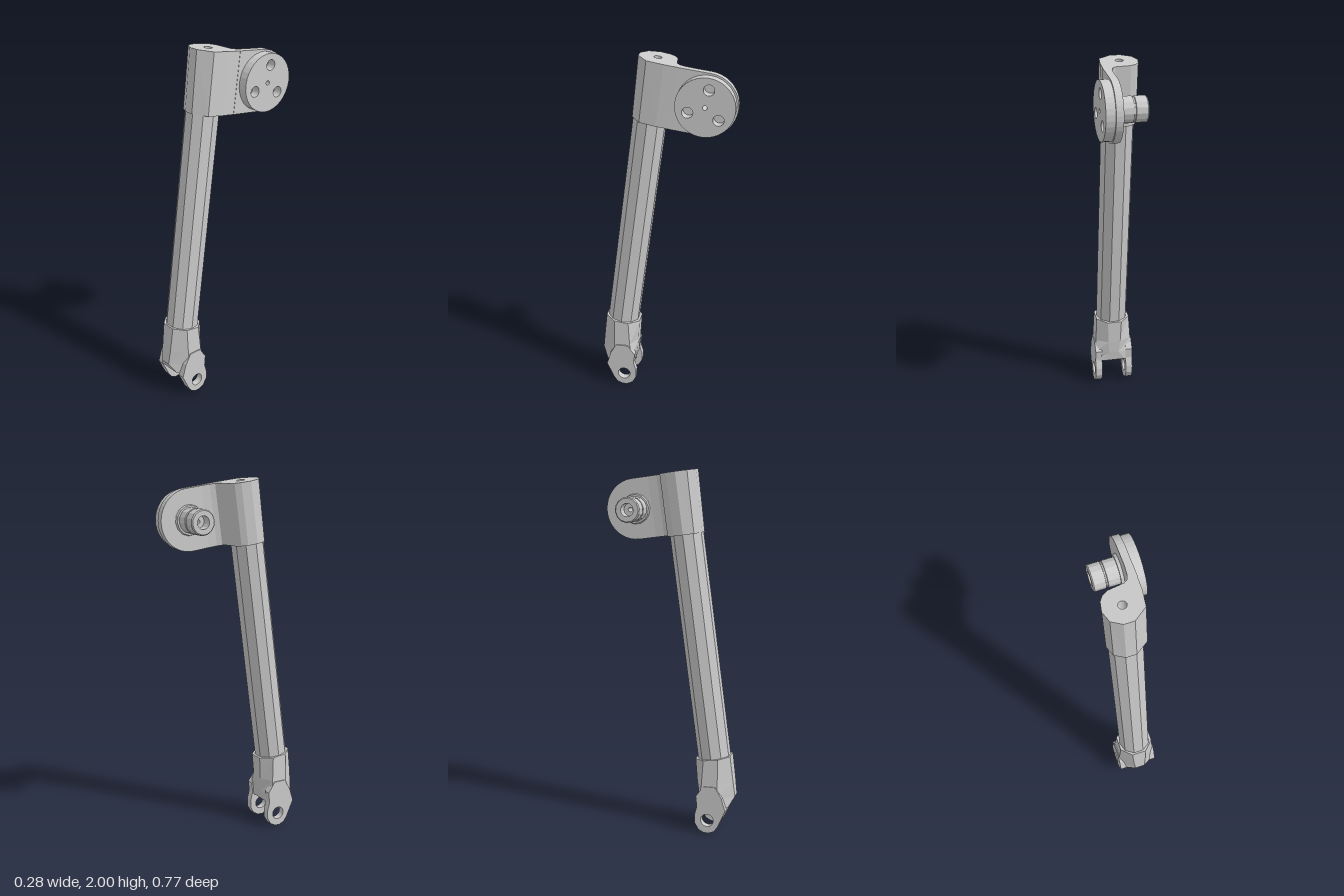
import * as THREE from 'three';

const mat = new THREE.MeshStandardMaterial({ color: 0xcccccc, flatShading: true });
const AXIS_X = -0.028;   // x of the strut axis
const TILT = 0.1327;     // backward lean of the strut

function add(parent, name, geometry) {
  const mesh = new THREE.Mesh(geometry, mat);
  mesh.name = name;
  parent.add(mesh);
  return mesh;
}

function polygon(points) {
  return new THREE.Shape(points.map(([x, y]) => new THREE.Vector2(x, y)));
}

function addHole(shape, x, y, r) {
  const hole = new THREE.Path();
  hole.absarc(x, y, r, 0, Math.PI * 2, true);
  shape.holes.push(hole);
}

// Extrudes a (z, y) outline sideways from x0 to x1
function extrudeX(shape, x0, x1, curveSegments) {
  const g = new THREE.ExtrudeGeometry(shape, { depth: x1 - x0, bevelEnabled: false, curveSegments });
  return g.rotateY(-Math.PI / 2).translate(x1, 0, 0);
}

// Eight-cornered ring with cut corners; slope tilts it along z
function ring({ y, w, back, front, cutX, cutBack, cutFront, slope = 0 }) {
  const mid = (back + front) / 2;
  return [
    [w, front - cutFront], [w, back + cutBack], [w - cutX, back], [-w + cutX, back],
    [-w, back + cutBack], [-w, front - cutFront], [-w + cutX, front], [w - cutX, front],
  ].map(([x, z]) => [x, y + slope * (z - mid), z]);
}

// Skins a stack of rings, top to bottom, and closes both ends
function loft(rings) {
  const n = rings[0].length, index = [];
  for (let r = 0; r < rings.length - 1; r++) {
    for (let i = 0; i < n; i++) {
      const a = r * n + i, b = r * n + (i + 1) % n;
      index.push(a, b, a + n, b, b + n, a + n);
    }
  }
  const last = (rings.length - 1) * n;
  for (let i = 1; i < n - 1; i++) {
    index.push(0, i + 1, i, last, last + i, last + i + 1);
  }
  // Rings run clockwise seen from +x to back, so flip to face outward
  for (let i = 0; i < index.length; i += 3) {
    const a = index[i], b = index[i + 1], c = index[i + 2];
    index[i] = a; index[i + 1] = c; index[i + 2] = b;
  }
  const g = new THREE.BufferGeometry();
  g.setAttribute('position', new THREE.Float32BufferAttribute(rings.flat(2), 3));
  g.setIndex(index);
  const flat = g.toNonIndexed();
  flat.computeVertexNormals();
  return flat;
}

function buildStrut() {
  const strut = new THREE.Group();
  strut.name = 'strut';
  strut.position.set(AXIS_X, 0, 0.316);
  strut.rotation.x = -TILT;

  // Faceted main tube
  const tube = new THREE.CylinderGeometry(0.092, 0.092, 1.32, 10).rotateY(Math.PI / 10);
  add(strut, 'tube', tube.translate(0, 1.02, 0));

  // Head barrel with a neck blending into the side plate, outline in (x, -z)
  const barrel = polygon([
    [-0.102, 0.004], [-0.082, 0.065], [-0.027, 0.1], [0.028, 0.1], [0.1, 0.045],
    [0.113, -0.05], [0.116, -0.2], [0.076, -0.2], [0.072, -0.15], [0.062, -0.122],
    [0.045, -0.11], [-0.042, -0.098], [-0.072, -0.08], [-0.092, -0.05],
  ].map(([x, z]) => [x, -z]));
  addHole(barrel, 0, 0, 0.022);
  const head = new THREE.ExtrudeGeometry(barrel, { depth: 0.336, bevelEnabled: false, curveSegments: 10 });
  head.rotateX(-Math.PI / 2).translate(0, 1.668, 0);
  const p = head.attributes.position;
  for (let i = 0; i < p.count; i++) {
    if (p.getZ(i) > 0.03 && p.getY(i) < 1.8) p.setZ(i, p.getZ(i) * 0.93);
  }
  head.computeVertexNormals();
  add(strut, 'headBarrel', head);

  // Round-ended side plate
  const cy = 1.836, cz = -0.295;
  const plate = new THREE.Shape();
  plate.moveTo(-0.12, 1.668);
  plate.lineTo(-0.12, 2.004);
  plate.lineTo(cz, 2.004);
  plate.absarc(cz, cy, 0.168, Math.PI / 2, Math.PI * 1.5, false);
  addHole(plate, cz, cy, 0.012);
  add(strut, 'sidePlate', extrudeX(plate, 0.076, 0.116, 10));

  // Outer disc with three recesses and a centre bore
  const disc = new THREE.Shape();
  disc.absarc(cz, cy, 0.158, 0, Math.PI * 2, false);
  addHole(disc, cz, cy, 0.012);
  for (let i = 0; i < 3; i++) {
    const a = Math.PI / 2 + TILT - 0.06 + i * Math.PI * 2 / 3;
    addHole(disc, cz + 0.095 * Math.cos(a), cy + 0.095 * Math.sin(a), 0.029);
  }
  add(strut, 'disc', extrudeX(disc, 0.116, 0.166, 16));

  // Inward pin with socket, groove and shoulder, profile in (radius, x)
  const pin = new THREE.LatheGeometry([
    [0.012, 0.08], [0.012, -0.02], [0.036, -0.02], [0.036, -0.08], [0.064, -0.08],
    [0.07, -0.074], [0.07, -0.013], [0.064, -0.011], [0.064, -0.004], [0.07, -0.002],
    [0.07, 0.06], [0.08, 0.06], [0.085, 0.08],
  ].map(([r, x]) => new THREE.Vector2(r, x)), 14);
  add(strut, 'pin', pin.rotateZ(-Math.PI / 2).translate(0, cy, cz));
  return strut;
}

function buildFork() {
  const fork = new THREE.Group();
  fork.name = 'fork';
  fork.position.x = AXIS_X;

  // Socket widening from the tube down to the slot roof
  add(fork, 'forkSocket', loft([
    ring({ y: 0.42, w: 0.098, back: 0.161, front: 0.357, cutX: 0.057, cutBack: 0.057, cutFront: 0.057, slope: TILT }),
    ring({ y: 0.28, w: 0.106, back: 0.17, front: 0.375, cutX: 0.07, cutBack: 0.04, cutFront: 0.075, slope: 0.05 }),
    ring({ y: 0.2, w: 0.113, back: 0.178, front: 0.385, cutX: 0.085, cutBack: 0.02, cutFront: 0.085 }),
    ring({ y: 0.145, w: 0.112, back: 0.187, front: 0.355, cutX: 0.045, cutBack: 0.02, cutFront: 0.045 }),
  ]));

  // Pair of eye lugs, outline in (z, y)
  for (const side of [-1, 1]) {
    const lug = polygon([
      [0.325, 0.21], [0.29, 0.27], [0.22, 0.27], [0.18, 0.21], [0.186, 0.15], [0.173, 0.1], [0.174, 0.055],
      [0.195, 0.018], [0.225, 0.002], [0.255, 0], [0.285, 0.013], [0.306, 0.042], [0.348, 0.135],
    ]);
    addHole(lug, 0.245, 0.075, 0.036);
    const x0 = side > 0 ? 0.073 : -0.113;
    add(fork, side > 0 ? 'leftLug' : 'rightLug', extrudeX(lug, x0, x0 + 0.04, 12));
  }
  return fork;
}

export function createModel() {
  const model = new THREE.Group();
  model.name = 'strutArm';
  model.add(buildStrut(), buildFork());
  return model;
}
